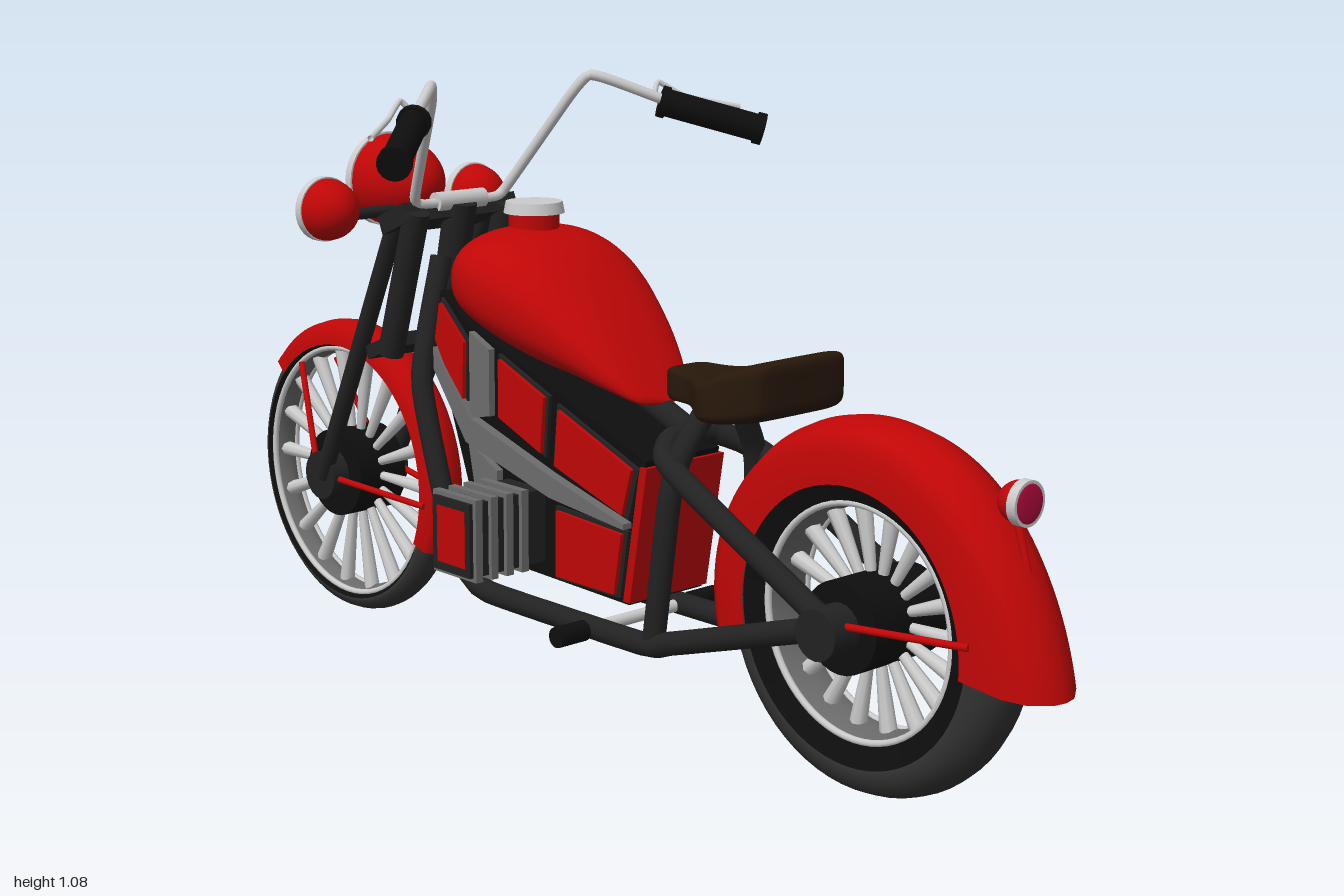
import * as THREE from 'three';

const mat = (color) => new THREE.MeshStandardMaterial({ color, side: THREE.DoubleSide });
const RED = mat(0xc00606), BLACK = mat(0x0e0e0e), DARK = mat(0x222222), TYRE = mat(0x333333),
  STEEL = mat(0x6c6c6c), SILVER = mat(0xbcbcbc), BROWN = mat(0x28180b), LENS = mat(0xb0083c);

const V = (p) => new THREE.Vector3(...p);
const flip = ([x, y, z]) => [-x, y, z];

export function createModel() {
  const model = new THREE.Group();

  const add = (name, geo, material, parent = model) => {
    const mesh = new THREE.Mesh(geo, material);
    mesh.name = name;
    parent.add(mesh);
    return mesh;
  };
  // Straight round bar from a to b
  const rod = (name, a, b, r, material, parent, r2 = r, sides = 16) => {
    const d = V(b).sub(V(a));
    const mesh = add(name, new THREE.CylinderGeometry(r2, r, d.length(), sides), material, parent);
    mesh.position.copy(V(a)).addScaledVector(d, 0.5);
    mesh.quaternion.setFromUnitVectors(new THREE.Vector3(0, 1, 0), d.normalize());
    return mesh;
  };
  const tube = (name, pts, r, material) => add(name, new THREE.TubeGeometry(
    new THREE.CatmullRomCurve3(pts.map(V), false, 'catmullrom', 0.25), 48, r, 12), material);
  const box = (name, size, pos, material) => {
    const mesh = add(name, new THREE.BoxGeometry(...size), material);
    mesh.position.set(...pos);
    return mesh;
  };
  // Side outline [z, y] given a half width across x
  const slab = (name, pts, w, material) => {
    const geo = new THREE.ExtrudeGeometry(new THREE.Shape(pts.map((p) => new THREE.Vector2(...p))),
      { depth: 2 * w, bevelEnabled: false });
    geo.rotateY(-Math.PI / 2).translate(w, 0, 0);
    return add(name, geo, material);
  };
  // Ring profile [radius, x] turned about the x axis; angle runs from +z towards +y
  const turned = (pts, start = 0, length = Math.PI * 2, seg = 64) =>
    new THREE.LatheGeometry(pts.map((p) => new THREE.Vector2(...p)), seg, start, length).rotateZ(Math.PI / 2);
  // Superellipse sections [z, bottom, top, half width] joined along z
  const loft = (sections, power, n = 40) => {
    const pos = [], idx = [];
    const curve = new THREE.CatmullRomCurve3(sections.map(([z, b, t]) => new THREE.Vector3(z, b, t)));
    const width = new THREE.CatmullRomCurve3(sections.map(([z, , , w]) => new THREE.Vector3(z, w, 0)));
    const rows = (sections.length - 1) * 5;
    const f = (v) => Math.sign(v) * Math.abs(v) ** power;
    for (let i = 0; i <= rows; i++) {
      const c = curve.getPoint(i / rows), w = Math.max(0, width.getPoint(i / rows).y);
      for (let j = 0; j < n; j++) {
        const a = (j / n) * Math.PI * 2;
        pos.push(w * f(Math.cos(a)), (c.y + c.z) / 2 + ((c.z - c.y) / 2) * f(Math.sin(a)), c.x);
        if (i === rows) continue;
        const p = i * n + j, q = i * n + ((j + 1) % n);
        idx.push(p, q, q + n, p, q + n, p + n);
      }
    }
    const geo = new THREE.BufferGeometry();
    geo.setAttribute('position', new THREE.Float32BufferAttribute(pos, 3));
    geo.setIndex(idx);
    geo.computeVertexNormals();
    return geo;
  };

  // Wheels: tyre, black side wall, rim, hub and a single row of flat spokes
  const wheel = (name, z, R, w, rim, hubR, hubW) => {
    const g = new THREE.Group();
    g.name = name;
    g.position.set(0, R, z);
    model.add(g);
    const wall = (R + rim) / 2 - 0.008;
    add('tyre', turned([[rim, -w * 0.75], [wall, -w], [R - w * 0.55, -w * 0.97], [R - w * 0.2, -w * 0.7],
      [R - w * 0.05, -w * 0.35], [R, 0], [R - w * 0.05, w * 0.35], [R - w * 0.2, w * 0.7],
      [R - w * 0.55, w * 0.97], [wall, w], [rim, w * 0.75]]), TYRE, g);
    for (const s of [-1, 1]) {
      add('sideWall', turned([[rim, s * w * 0.8], [wall, s * (w + 0.002)]]), BLACK, g);
      add('rimRing', new THREE.TorusGeometry(rim, 0.006, 8, 64).rotateY(Math.PI / 2)
        .translate(s * w * 0.75, 0, 0), SILVER, g);
    }
    add('rim', turned([[rim, -w * 0.75], [rim - 0.012, 0], [rim, w * 0.75]]), STEEL, g);
    rod('hub', [-hubW * 0.6, 0, 0], [hubW * 0.6, 0, 0], hubR, BLACK, g, hubR, 28);
    rod('axle', [-hubW, 0, 0], [hubW, 0, 0], hubR * 0.55, DARK, g, hubR * 0.55, 20);
    for (let i = 0; i < 18; i++) {
      const a = (i / 18) * Math.PI * 2, c = Math.cos(a), s = Math.sin(a);
      rod('spoke', [0, s * hubR * 0.8, c * hubR * 0.8], [0, s * rim, c * rim], 0.008, SILVER, g, 0.015, 8);
    }
  };
  wheel('rearWheel', 0.635, 0.285, 0.06, 0.19, 0.075, 0.14);
  wheel('frontWheel', -0.72, 0.28, 0.034, 0.243, 0.085, 0.09);

  // Rear fender with a kicked-out tail
  const rear = turned([[0.22, -0.074], [0.275, -0.074], [0.3, -0.058], [0.315, -0.025], [0.318, 0],
    [0.315, 0.025], [0.3, 0.058], [0.275, 0.074], [0.22, 0.074]], -0.15, Math.PI + 0.45);
  const rp = rear.attributes.position;
  for (let i = 0; i < rp.count; i++) {
    const y = rp.getY(i), z = rp.getZ(i);
    const k = Math.max(0, 1 - Math.max(0, Math.atan2(y, z) + 0.15) / 0.9);
    if (z > 0) rp.setZ(i, z + 0.05 * k * k * (Math.hypot(y, z) - 0.2) / 0.11);
  }
  rear.computeVertexNormals();
  add('rearFender', rear, RED).position.set(0, 0.287, 0.635);

  // Front fender
  add('frontFender', turned([[0.25, -0.041], [0.28, -0.039], [0.293, -0.022], [0.296, 0],
    [0.293, 0.022], [0.28, 0.039], [0.25, 0.041]], -0.41, Math.PI - 0.33), RED).position.set(0, 0.28, -0.72);

  // Fuel tank and cap
  add('fuelTank', loft([[-0.29, 0.71, 0.73, 0], [-0.284, 0.685, 0.76, 0.07], [-0.25, 0.655, 0.802, 0.132],
    [-0.18, 0.63, 0.818, 0.166], [-0.075, 0.595, 0.793, 0.157], [0.03, 0.575, 0.712, 0.125],
    [0.11, 0.557, 0.625, 0.088], [0.15, 0.548, 0.575, 0.055], [0.165, 0.552, 0.556, 0]], 0.85), RED);
  rod('capNeck', [0, 0.79, -0.18], [0, 0.845, -0.18], 0.045, RED);
  rod('fuelCap', [0, 0.84, -0.18], [0, 0.86, -0.18], 0.054, SILVER, model, 0.05, 28);

  // Saddle
  add('seat', loft([[0.195, 0.59, 0.6, 0], [0.197, 0.572, 0.622, 0.035], [0.27, 0.57, 0.626, 0.06],
    [0.33, 0.57, 0.632, 0.105], [0.38, 0.57, 0.642, 0.143], [0.42, 0.572, 0.662, 0.14],
    [0.46, 0.58, 0.673, 0.108], [0.472, 0.59, 0.668, 0.09], [0.474, 0.625, 0.63, 0]], 0.32), BROWN);

  // Engine block with coloured panels showing on both sides
  slab('engineCore', [[0.2, 0.47], [-0.27, 0.645], [-0.34, 0.69], [-0.355, 0.59], [-0.22, 0.225], [0.16, 0.215]],
    0.085, BLACK);
  const panels = [
    [[0.19, 0.455], [-0.015, 0.535], [-0.025, 0.425], [0.165, 0.365]],
    [[-0.035, 0.545], [-0.17, 0.6], [-0.17, 0.485], [-0.045, 0.435]],
    [[0.165, 0.345], [-0.02, 0.355], [-0.02, 0.225], [0.145, 0.225]],
    [[-0.255, 0.61], [-0.33, 0.68], [-0.345, 0.605], [-0.26, 0.47]],
  ];
  for (const p of panels) {
    slab('panelFrame', p, 0.092, DARK);
    const cz = p.reduce((s, q) => s + q[0], 0) / 4, cy = p.reduce((s, q) => s + q[1], 0) / 4;
    slab('sidePanel', p.map(([z, y]) => [cz + (z - cz) * 0.9, cy + (y - cy) * 0.9]), 0.1, RED);
  }
  slab('sideBeam', [[0.165, 0.36], [-0.025, 0.41], [-0.235, 0.475], [-0.34, 0.59], [-0.34, 0.55],
    [-0.25, 0.43], [-0.025, 0.37], [0.165, 0.35]], 0.104, STEEL);
  slab('uprightPanel', [[-0.19, 0.605], [-0.245, 0.63], [-0.245, 0.475], [-0.19, 0.485]], 0.098, STEEL);
  slab('lowerPanel', [[-0.17, 0.39], [-0.25, 0.43], [-0.21, 0.24], [-0.17, 0.235]], 0.098, STEEL);
  slab('frontPanel', [[-0.335, 0.6], [-0.37, 0.6], [-0.235, 0.225], [-0.2, 0.225]], 0.045, STEEL);
  slab('frontCover', [[-0.335, 0.6], [-0.362, 0.6], [-0.228, 0.23], [-0.2, 0.23]], 0.07, RED);
  slab('rearCover', [[0.19, 0.46], [0.207, 0.46], [0.167, 0.22], [0.15, 0.22]], 0.09, RED);

  // Finned cylinder on each side
  for (const s of [-1, 1]) {
    box('cylinder', [0.17, 0.13, 0.1], [s * 0.17, 0.312, -0.105], DARK);
    for (let i = 0; i < 4; i++) box('fin', [0.015, 0.145, 0.116], [s * (0.138 + i * 0.034), 0.312, -0.105], STEEL);
    box('endCover', [0.004, 0.1, 0.075], [s * 0.254, 0.312, -0.105], RED);
  }

  // Parts mirrored left and right
  for (const m of [(p) => p, flip]) {
    const R = (name, a, b, r, material, r2) => rod(name, m(a), m(b), r, material, model, r2);
    const T = (name, pts, r, material) => tube(name, pts.map(m), r, material);
    // Frame
    T('lowerFrame', [[0.105, 0.29, 0.635], [0.105, 0.18, 0.28], [0.105, 0.165, 0.22], [0.105, 0.165, -0.18],
      [0.105, 0.185, -0.24], [0.105, 0.25, -0.29], [0.1, 0.52, -0.38], [0.035, 0.74, -0.4]], 0.02, DARK);
    T('upperFrame', [[0.105, 0.29, 0.635], [0.105, 0.46, 0.31], [0.09, 0.487, 0.25], [0.05, 0.505, 0.22],
      [0, 0.51, 0.215]], 0.02, DARK);
    T('seatTube', [[0.1, 0.165, 0.235], [0.1, 0.42, 0.272], [0.085, 0.49, 0.28], [0.03, 0.58, 0.295]], 0.02, DARK);
    // Foot pegs
    R('pegBar', [0, 0.163, 0.09], [0.13, 0.163, 0.09], 0.011, SILVER);
    R('footPeg', [0.125, 0.163, 0.09], [0.188, 0.163, 0.09], 0.018, BLACK);
    // Fork
    R('forkLeg', [0.105, 0.81, -0.44], [0.085, 0.28, -0.715], 0.017, DARK);
    R('forkSleeve', [0.105, 0.83, -0.38], [0.105, 0.56, -0.465], 0.024, DARK);
    R('forkRod', [0.085, 0.79, -0.485], [0.08, 0.36, -0.69], 0.009, DARK);
    // Fender struts
    R('rearStrut', [0.11, 0.3, 0.66], [0.075, 0.31, 0.88], 0.006, RED);
    R('frontStrut', [0.08, 0.28, -0.7], [0.042, 0.26, -0.455], 0.006, RED);
    R('frontStrut', [0.08, 0.28, -0.74], [0.042, 0.48, -0.84], 0.006, RED);
    // Handlebar, grip and lever
    T('handlebar', [[0, 0.84, -0.39], [0.08, 0.84, -0.39], [0.105, 0.855, -0.385], [0.16, 1.03, -0.265],
      [0.18, 1.067, -0.237], [0.21, 1.058, -0.21], [0.3, 1.015, -0.14]], 0.0095, SILVER);
    R('grip', [0.28, 1.02, -0.155], [0.42, 0.968, -0.03], 0.025, BLACK);
    R('gripEnd', [0.28, 1.02, -0.155], [0.29, 1.016, -0.147], 0.029, BLACK);
    R('gripEnd', [0.409, 0.972, -0.04], [0.42, 0.968, -0.03], 0.029, BLACK);
    T('lever', [[0.275, 1.03, -0.165], [0.295, 1.052, -0.175], [0.34, 1.025, -0.15], [0.42, 1.005, -0.09]],
      0.005, SILVER);
  }

  // Backbone, steering head, clamps and bar clamp
  rod('backbone', [0, 0.51, 0.22], [0, 0.64, -0.1], 0.022, DARK);
  rod('steeringHead', [0, 0.84, -0.385], [0, 0.55, -0.45], 0.03, DARK);
  box('topClamp', [0.26, 0.035, 0.08], [0, 0.815, -0.42], DARK).rotation.x = -0.4;
  box('lowerClamp', [0.22, 0.025, 0.09], [0, 0.57, -0.49], DARK).rotation.x = -0.4;
  rod('barClamp', [-0.055, 0.842, -0.39], [0.055, 0.842, -0.39], 0.018, SILVER);
  rod('lampBar', [-0.17, 0.815, -0.52], [0.17, 0.815, -0.52], 0.011, DARK);
  rod('lampBracket', [0, 0.8, -0.42], [0, 0.83, -0.52], 0.02, DARK);

  // Lamps: domed shell, bright rim and lens facing outward
  const lamp = (name, pos, r, depth, lens, turn) => {
    const g = new THREE.Group();
    g.name = name;
    g.position.set(...pos);
    g.rotation.y = turn;
    model.add(g);
    const dome = () => new THREE.SphereGeometry(1, 32, 14, 0, Math.PI * 2, 0, Math.PI / 2).rotateX(Math.PI / 2);
    add('shell', dome().scale(r, r, depth), RED, g);
    rod('lampRim', [0, 0, 0.004], [0, 0, -0.012], r * 1.04, SILVER, g, r * 1.04, 32);
    add('lens', dome().rotateY(Math.PI).scale(r * 0.92, r * 0.92, r * 0.12).translate(0, 0, -0.011), lens, g);
  };
  lamp('headlamp', [0, 0.862, -0.605], 0.085, 0.14, SILVER, 0);
  for (const s of [-1, 1]) lamp('sideLamp', [s * 0.173, 0.823, -0.563], 0.057, 0.07, SILVER, 0);
  lamp('tailLamp', [0, 0.523, 0.912], 0.034, 0.04, LENS, Math.PI);
  rod('tailLampStem', [0, 0.42, 0.925], [0, 0.52, 0.895], 0.006, RED);

  return model;
}
